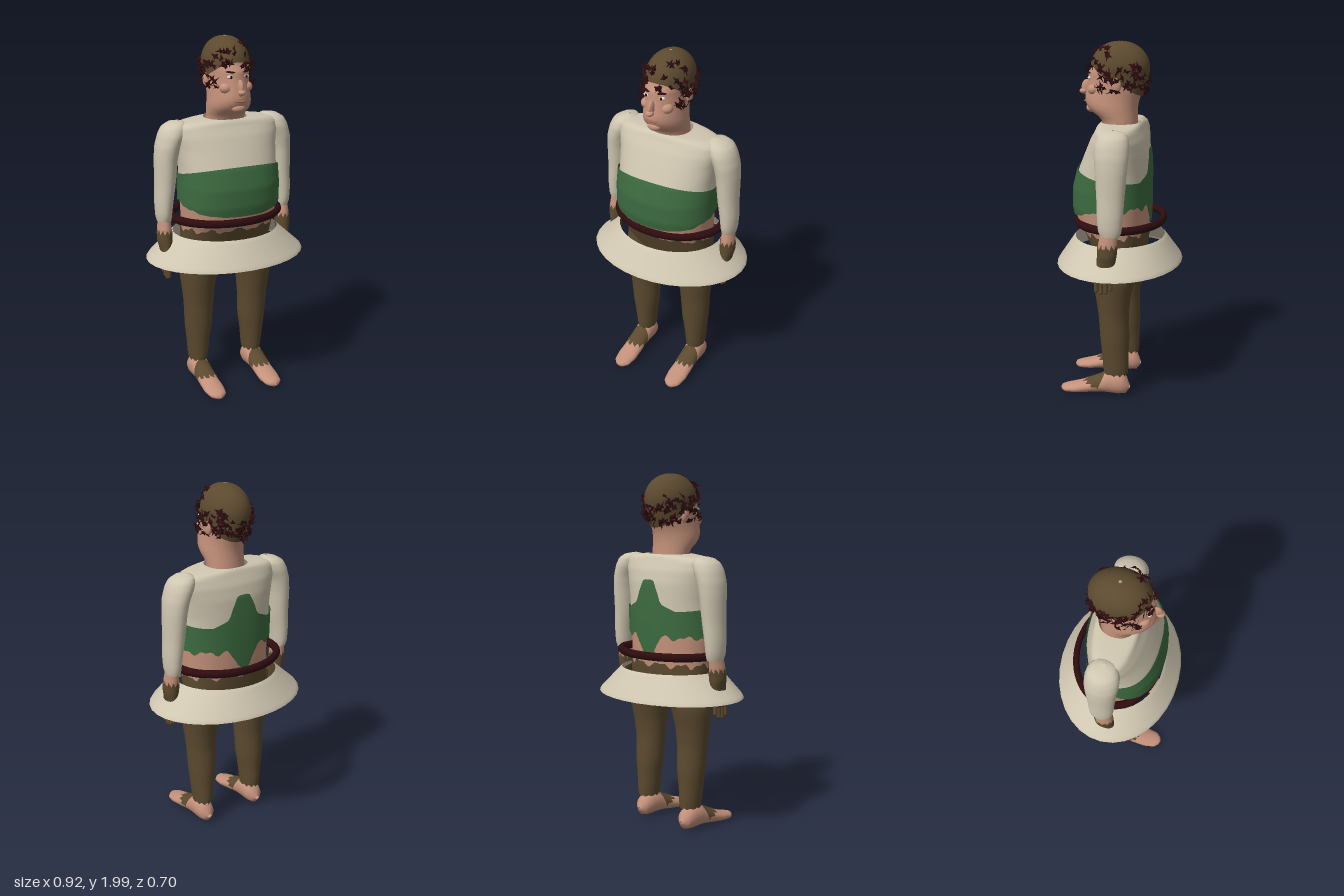
import * as THREE from 'three';

const mat = (name, color, side = THREE.DoubleSide) => {
  const m = new THREE.MeshStandardMaterial({ color, side });
  m.name = name;
  return m;
};
const SKIN = mat('skin', 0xc4917a), CREAM = mat('cream cloth', 0xcfc6b0), GREEN = mat('green cloth', 0x3c6a3f);
const BROWN = mat('brown cloth', 0x5c4a2f), MAROON = mat('dark maroon', 0x2e0c0f);
const EYE = mat('eye white', 0xd8d4cc), LIP = mat('lip', 0x9c6455);

// Cross-section rows: [y, centre x, half width, front z, back z], rising in y
function pointOn(rows, th, y, off = 0, e = 1) {
  let k = 0;
  while (k < rows.length - 2 && y > rows[k + 1][0]) k++;
  const a = rows[k], b = rows[k + 1];
  const t = THREE.MathUtils.clamp((y - a[0]) / (b[0] - a[0]), 0, 1);
  const [cx, rx, zf, zb] = [1, 2, 3, 4].map(i => a[i] + (b[i] - a[i]) * t);
  const pw = v => Math.sign(v) * Math.abs(v) ** e;
  return new THREE.Vector3(cx + (rx + off) * pw(Math.sin(th)), y,
    (zf + zb) / 2 + ((zf - zb) / 2 + off) * pw(Math.cos(th)));
}

// Skin over the rows between a lower and an upper edge; th = 0 is the front
function loft(rows, { lo, hi, off = 0, e = 1, nu = 48, nv = 28 } = {}) {
  lo ??= () => rows[0][0];
  hi ??= () => rows[rows.length - 1][0];
  const pos = [], idx = [];
  for (let j = 0; j <= nv; j++) for (let i = 0; i < nu; i++) {
    const th = i / nu * Math.PI * 2, v = 1 - (1 - j / nv) ** 1.5;
    pos.push(...pointOn(rows, th, lo(th) + (hi(th) - lo(th)) * v, off, e).toArray());
  }
  for (let j = 0; j < nv; j++) for (let i = 0; i < nu; i++) {
    const a = j * nu + i, b = j * nu + (i + 1) % nu;
    idx.push(a, b, b + nu, a, b + nu, a + nu);
  }
  const g = new THREE.BufferGeometry();
  g.setAttribute('position', new THREE.Float32BufferAttribute(pos, 3));
  g.setIndex(idx);
  g.computeVertexNormals();
  return g;
}

const TORSO = [
  [0.85, 0, 0.255, 0.14, -0.145], [0.95, 0, 0.262, 0.185, -0.155], [1.02, 0, 0.27, 0.23, -0.16],
  [1.1, 0, 0.275, 0.245, -0.162], [1.2, 0, 0.275, 0.243, -0.163], [1.3, 0, 0.275, 0.218, -0.162],
  [1.4, 0, 0.285, 0.178, -0.158], [1.47, 0, 0.3, 0.148, -0.145], [1.52, 0, 0.3, 0.12, -0.125],
  [1.54, 0, 0.27, 0.112, -0.118], [1.55, 0, 0.2, 0.105, -0.112], [1.556, 0, 0.115, 0.1, -0.105]];
const HEAD = [
  [1.48, 0, 0.105, 0.085, -0.1], [1.56, 0, 0.108, 0.1, -0.096], [1.59, 0, 0.11, 0.125, -0.095],
  [1.615, 0, 0.114, 0.165, -0.095], [1.645, 0, 0.115, 0.188, -0.097], [1.68, 0, 0.11, 0.196, -0.105],
  [1.74, 0, 0.107, 0.185, -0.13], [1.8, 0, 0.109, 0.175, -0.148], [1.825, 0, 0.112, 0.178, -0.152],
  [1.85, 0, 0.116, 0.155, -0.154]];
for (let k = 1; k <= 10; k++) {
  const a = k / 10 * Math.PI / 2, c = Math.cos(a);
  HEAD.push([1.85 + 0.142 * Math.sin(a), 0, 0.116 * c, 0.155 * c, -0.154 * c]);
}
const LEG = [
  [0.12, 0.172, 0.048, 0.055, -0.07], [0.15, 0.172, 0.054, 0.062, -0.08], [0.25, 0.172, 0.064, 0.07, -0.08],
  [0.35, 0.17, 0.078, 0.08, -0.085], [0.5, 0.17, 0.086, 0.09, -0.08], [0.6, 0.172, 0.096, 0.105, -0.092],
  [0.7, 0.168, 0.112, 0.12, -0.115], [0.78, 0.15, 0.122, 0.13, -0.13], [0.87, 0.135, 0.125, 0.13, -0.135]];
const PELVIS = [
  [0.735, 0, 0.02, 0.03, -0.03], [0.75, 0, 0.1, 0.09, -0.09], [0.79, 0, 0.2, 0.125, -0.13],
  [0.85, 0, 0.262, 0.147, -0.152], [0.93, 0, 0.268, 0.18, -0.16], [1.0, 0, 0.275, 0.21, -0.165]];
const SLEEVE = [
  [1.0, 0.364, 0.038, 0.035, -0.07], [1.03, 0.366, 0.043, 0.047, -0.08], [1.1, 0.364, 0.049, 0.053, -0.086],
  [1.2, 0.354, 0.055, 0.057, -0.092], [1.35, 0.346, 0.062, 0.066, -0.105], [1.42, 0.335, 0.067, 0.074, -0.11],
  [1.48, 0.312, 0.074, 0.075, -0.11], [1.52, 0.296, 0.07, 0.062, -0.1], [1.545, 0.28, 0.045, 0.035, -0.075],
  [1.553, 0.27, 0.005, -0.01, -0.02]];
const HAND = [
  [0.74, 0.37, 0.014, 0.068, -0.03], [0.8, 0.37, 0.021, 0.07, -0.036], [0.85, 0.368, 0.03, 0.055, -0.045],
  [0.89, 0.368, 0.041, 0.053, -0.053], [0.96, 0.367, 0.042, 0.05, -0.06], [1.03, 0.366, 0.035, 0.035, -0.065]];
// Foot runs heel to toe along y, then is tipped forward: columns 3 and 4 are -bottom and -top
const FOOT = [
  [-0.088, 0.175, 0.012, -0.05, -0.07], [-0.07, 0.175, 0.04, -0.022, -0.12], [-0.03, 0.175, 0.053, -0.015, -0.15],
  [0.03, 0.175, 0.054, -0.018, -0.155], [0.08, 0.175, 0.052, -0.02, -0.122], [0.15, 0.175, 0.056, -0.012, -0.09],
  [0.22, 0.175, 0.059, -0.005, -0.066], [0.28, 0.175, 0.048, -0.004, -0.05], [0.305, 0.175, 0.025, -0.01, -0.042],
  [0.312, 0.175, 0.004, -0.02, -0.03]];

// Jagged flakes of hair scattered over the cap
function hairGeometry() {
  let seed = 7;
  const rnd = (a = 0, b = 1) => {
    seed = (seed * 16807) % 2147483647;
    return a + (b - a) * seed / 2147483647;
  };
  const pos = [];
  const flake = (th, y) => {
    const c = pointOn(HEAD, th, y, rnd(0.008, 0.028));
    const o = new THREE.Object3D();
    o.position.copy(c);
    o.lookAt(c.x * 2, c.y + (c.y - 1.83) * 0.7, c.z * 2);
    o.rotateX(rnd(-0.6, 0.6)); o.rotateY(rnd(-0.7, 0.7)); o.rotateZ(rnd(0, 6));
    o.updateMatrix();
    const n = 8, rim = [];
    for (let i = 0; i < n; i++) {
      const a = i / n * Math.PI * 2, r = i % 2 ? rnd(0.008, 0.016) : rnd(0.02, 0.036);
      rim.push(new THREE.Vector3(r * Math.cos(a) * 0.75, r * Math.sin(a), rnd(-0.008, 0.004)).applyMatrix4(o.matrix));
    }
    rim.forEach((p, i) => pos.push(...c.toArray(), ...p.toArray(), ...rim[(i + 1) % n].toArray()));
  };
  for (const s of [1, -1]) {
    for (let i = 0; i < 48; i++) flake(s * rnd(1.0, 2.5), rnd(1.73, 1.88));
    for (let i = 0; i < 16; i++) flake(s * rnd(2.3, 3.14), rnd(1.71, 1.82));
    for (let i = 0; i < 6; i++) flake(s * rnd(0.1, 0.9), rnd(1.84, 1.89));
    for (let i = 0; i < 7; i++) flake(s * rnd(0, 1.5), rnd(1.9, 1.965));
  }
  const g = new THREE.BufferGeometry();
  g.setAttribute('position', new THREE.Float32BufferAttribute(pos, 3));
  g.computeVertexNormals();
  return g;
}

export function createModel() {
  const root = new THREE.Group();
  const add = (name, geo, material, x = 0, y = 0, z = 0, sx = 1, sy = 1, sz = 1) => {
    const m = new THREE.Mesh(geo, material);
    m.name = name;
    m.position.set(x, y, z);
    m.scale.set(sx, sy, sz);
    root.add(m);
    return m;
  };
  const ball = new THREE.SphereGeometry(1, 20, 14);
  const jag = (th, k) => 0.012 * Math.sin(th * 11 + k) + 0.008 * Math.sin(th * 23 + k);
  const bump = (d, w) => THREE.MathUtils.clamp(1.5 - Math.abs(d) / w, 0, 1);
  const fromBack = th => th - Math.PI;

  // Torso, shirt and torn green wrap with a tall tab at the back
  add('belly', loft(TORSO, { e: 0.88, hi: () => 1.2 }), SKIN);
  add('shirt', loft(TORSO, { e: 0.88, lo: () => 1.17, off: 0.004 }), CREAM);
  add('greenWrap', loft(TORSO, {
    e: 0.88, off: 0.014, nu: 120,
    lo: th => 1.11 - 0.06 * Math.max(0, Math.cos(th)) + jag(th, 1) * 0.5 * (1 - Math.cos(th))
      - 0.1 * bump(fromBack(th), 0.2),
    hi: th => 1.27 + 0.05 * Math.max(0, Math.cos(th)) - 0.02 * Math.max(0, -Math.cos(th))
      + 0.05 * bump(fromBack(th), 0.42) + 0.12 * bump(fromBack(th), 0.19),
  }), GREEN);

  // Trousers, belt hoop and flared hip ring
  add('trouserSeat', loft(PELVIS, { e: 0.9, nu: 96, hi: th => 0.955 + jag(th, 2) }), BROWN);
  const hoop = new THREE.TorusGeometry(0.312, 0.023, 12, 64).rotateX(Math.PI / 2);
  add('beltHoop', hoop, MAROON, 0, 1.012, -0.004, 1, 1, 0.765);
  add('hipRing', loft([[0.77, 0, 0.462, 0.35, -0.35], [0.782, 0, 0.455, 0.345, -0.345],
    [0.905, 0, 0.318, 0.262, -0.262], [0.918, 0, 0.305, 0.25, -0.25]], { nu: 32 }), CREAM);

  // Head, face and cap
  add('head', loft(HEAD), SKIN);
  add('cap', loft(HEAD, { off: 0.008, lo: th => 1.785 + 0.085 * Math.cos(th) }), BROWN);
  add('hair', hairGeometry(), MAROON);
  add('nose', ball, SKIN, 0, 1.738, 0.186, 0.015, 0.045, 0.032);
  add('noseTip', ball, SKIN, 0, 1.718, 0.205, 0.021, 0.016, 0.024);
  add('lips', ball, LIP, 0, 1.667, 0.188, 0.036, 0.006, 0.014);
  add('chin', ball, SKIN, 0, 1.628, 0.163, 0.04, 0.025, 0.028);

  for (const s of [1, -1]) {
    const side = rows => rows.map(([y, cx, ...r]) => [y, s * cx, ...r]);
    add('eye', ball, EYE, s * 0.045, 1.796, 0.16, 0.019, 0.009, 0.012);
    add('pupil', ball, MAROON, s * 0.045, 1.796, 0.169, 0.007, 0.008, 0.005);
    const brow = add('eyebrow', ball, MAROON, s * 0.047, 1.823, 0.165, 0.026, 0.005, 0.01);
    brow.rotation.set(0, s * 0.35, s * 0.1);
    add('cheek', ball, SKIN, s * 0.058, 1.735, 0.135, 0.036, 0.03, 0.034);
    add('ear', ball, SKIN, s * 0.113, 1.765, 0.0, 0.016, 0.04, 0.026);

    // Arm with ragged glove
    add('sleeve', loft(side(SLEEVE), { nu: 28 }), CREAM);
    add('wrist', loft(side(HAND), { lo: () => 0.88, off: -0.004, nu: 24 }), SKIN);
    add('glove', loft(side(HAND), { nu: 48, nv: 20, hi: th => 0.945 + jag(th, 3) }), BROWN);
    for (let i = 0; i < 4; i++) {
      const finger = new THREE.CapsuleGeometry(0.012, [0.05, 0.075, 0.08, 0.07][i], 4, 10);
      add('finger', finger, BROWN, s * 0.37, [0.732, 0.727, 0.724, 0.73][i], -0.02 + i * 0.026);
    }
    const thumb = add('thumb', new THREE.CapsuleGeometry(0.013, 0.06, 4, 10), BROWN, s * 0.355, 0.785, 0.075);
    thumb.rotation.x = -0.35;

    // Leg, bare foot and its torn strap
    add('trouserLeg', loft(side(LEG), { nu: 36, lo: th => 0.138 + 0.5 * jag(th, 1) }), BROWN);
    add('foot', loft(side(FOOT), { nu: 28 }).rotateX(Math.PI / 2), SKIN);
    const up = th => Math.max(0, -Math.cos(th) + 0.35);
    add('footStrap', loft(side(FOOT), {
      off: 0.004, nu: 48, nv: 12,
      lo: th => 0.09 - 0.03 * up(th), hi: th => 0.09 + 0.06 * up(th) + (up(th) ? jag(th, 2) : 0),
    }).rotateX(Math.PI / 2), BROWN);
  }
  return root;
}
